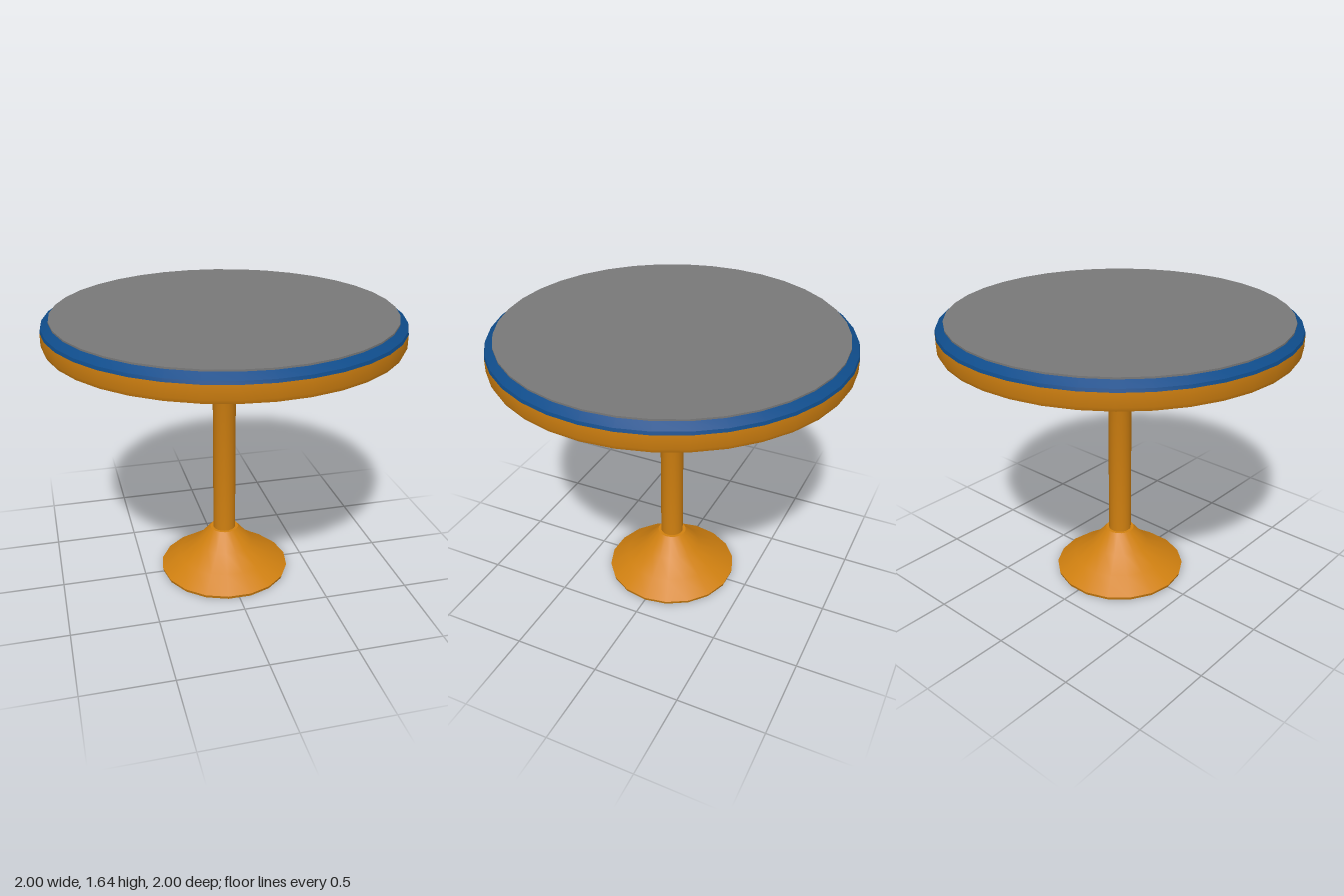
import * as THREE from 'three';
import { toCreasedNormals } from 'three/addons/utils/BufferGeometryUtils.js';

const ORANGE = new THREE.MeshStandardMaterial({ color: 0xd08010 });
const BLUE = new THREE.MeshStandardMaterial({ color: 0x0f4c8a });
const GREY = new THREE.MeshStandardMaterial({ color: 0x787878 });

// Turned part from [radius, height] pairs, listed bottom to top
function turned(name, profile, sides, material) {
  const points = profile.map(([r, y]) => new THREE.Vector2(r, y));
  const lathe = new THREE.LatheGeometry(points, sides, Math.PI / 2);
  const mesh = new THREE.Mesh(toCreasedNormals(lathe, 0.62), material);
  mesh.name = name;
  return mesh;
}

export function createModel() {
  const table = new THREE.Group();
  table.name = 'pedestalTable';

  // Flared foot with a thin rim and a small flat collar around the column
  table.add(turned('foot', [
    [0, 0], [0.385, 0], [0.39, 0.018], [0.28, 0.095],
    [0.17, 0.175], [0.085, 0.275], [0, 0.275],
  ], 18, ORANGE));

  // Column widening into a flare under the top
  table.add(turned('column', [
    [0.067, 0.26], [0.067, 1.37], [0.095, 1.435], [0.15, 1.495],
  ], 18, ORANGE));

  // Tabletop: body with slightly eased lower edge
  table.add(turned('topBody', [
    [0, 1.49], [0.99, 1.49], [1, 1.512], [1, 1.585],
  ], 36, ORANGE));

  // Bevelled edge band
  table.add(turned('edgeBand', [
    [1, 1.585], [0.995, 1.602], [0.952, 1.63],
  ], 36, BLUE));

  // Thin raised surface
  table.add(turned('topSurface', [
    [0.952, 1.63], [0.952, 1.64], [0, 1.64],
  ], 36, GREY));

  return table;
}
